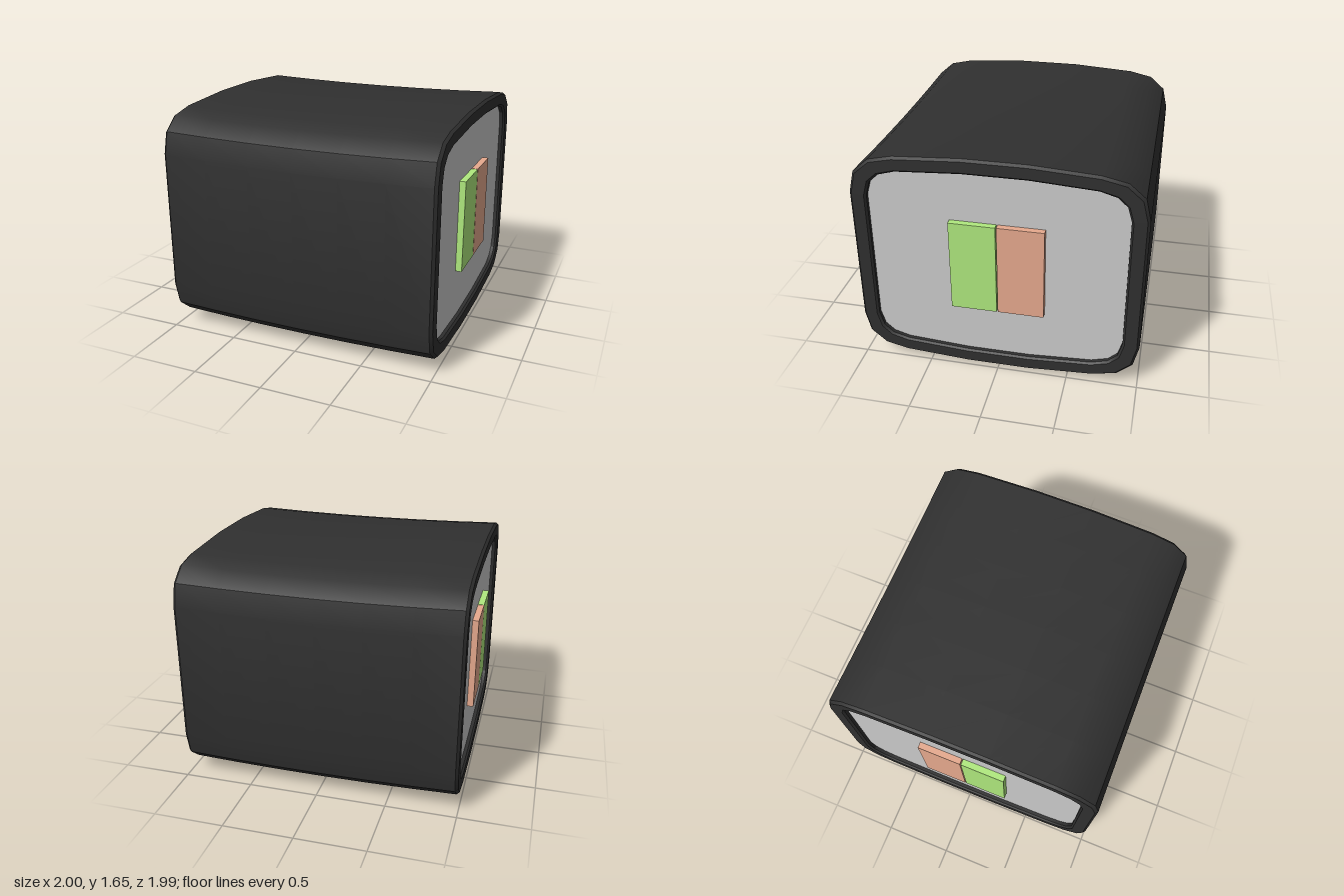
import * as THREE from 'three';
import { toCreasedNormals } from 'three/addons/utils/BufferGeometryUtils.js';

const CENTER_Y = 0.835;

// Quarter profiles as [z, y] from the centre, going from the top to the side
const OUTER = [[0.22, 0.815], [0.68, 0.787], [0.85, 0.75], [0.96, 0.655], [0.997, 0.5]];
const INNER = [[0.22, 0.708], [0.67, 0.68], [0.785, 0.647], [0.85, 0.587], [0.88, 0.483]];

// Mirror a quarter profile into a closed loop
function fullLoop(quarter) {
  const flip = (sz, sy) => quarter.map(([z, y]) => [z * sz, y * sy]);
  return [
    ...flip(1, 1), ...flip(1, -1).reverse(),
    ...flip(-1, -1), ...flip(-1, 1).reverse(),
  ];
}

// Wrapper skin lofted along x; each station is [x, blend from outer to inner profile]
function wrapperGeometry() {
  const outer = fullLoop(OUTER), inner = fullLoop(INNER), n = outer.length;
  const end = [[0.94, 1], [0.98, 1], [0.995, 0.88], [0.995, 0.15], [0.975, 0]];
  const stations = [
    ...end.map(([x, t]) => [-x, t]),
    ...[-0.66, -0.33, 0, 0.33, 0.66].map((x) => [x, 0]),
    ...end.slice().reverse(),
  ];
  const positions = [], indices = [];
  stations.forEach(([x, t], s) => {
    const sag = -0.02 * (1 - x * x);
    for (let i = 0; i < n; i++) {
      const z = THREE.MathUtils.lerp(outer[i][0], inner[i][0], t);
      const y = THREE.MathUtils.lerp(outer[i][1], inner[i][1], t);
      positions.push(x, CENTER_Y + y + sag, z);
      if (s === 0) continue;
      const j = (i + 1) % n;
      const a = (s - 1) * n + i, b = (s - 1) * n + j, c = s * n + j, d = s * n + i;
      indices.push(a, b, c, a, c, d);
    }
  });
  const geometry = new THREE.BufferGeometry();
  geometry.setAttribute('position', new THREE.Float32BufferAttribute(positions, 3));
  geometry.setIndex(indices);
  return toCreasedNormals(geometry, Math.PI / 6);
}

// Rice core: inner profile extruded along x, slightly recessed at both ends
function riceGeometry() {
  const shape = new THREE.Shape(fullLoop(INNER).map(([z, y]) => new THREE.Vector2(-z, y)));
  const length = 1.91;
  const geometry = new THREE.ExtrudeGeometry(shape, { depth: length, bevelEnabled: false });
  return geometry.translate(0, 0, -length / 2).rotateY(Math.PI / 2).translate(0, CENTER_Y, 0);
}

export function createModel() {
  const group = new THREE.Group();
  const add = (name, geometry, color, side = THREE.FrontSide) => {
    const mesh = new THREE.Mesh(geometry, new THREE.MeshStandardMaterial({ color, side }));
    mesh.name = name;
    group.add(mesh);
    return mesh;
  };

  add('seaweedWrapper', wrapperGeometry(), 0x303030, THREE.DoubleSide);
  add('riceCore', riceGeometry(), 0xcccccc);

  // Two filling sticks running through the roll, side by side
  const stick = new THREE.BoxGeometry(2, 0.675, 0.322);
  add('greenFilling', stick, 0xb0ea7e).position.set(0, 0.843, 0.16);
  add('orangeFilling', stick, 0xe7aa8e).position.set(0, 0.843, -0.17);

  return group;
}
